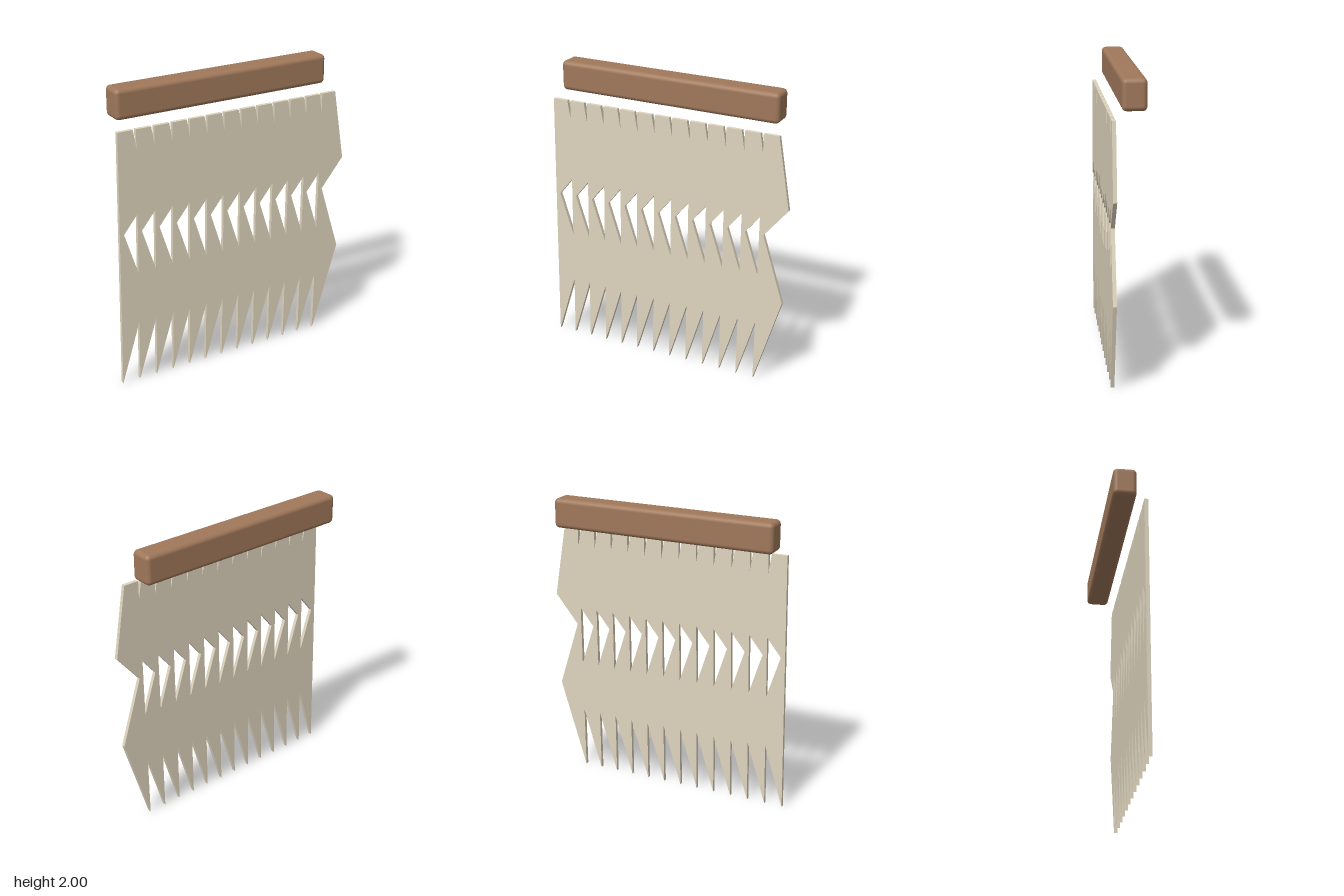
import * as THREE from 'three';
import { RoundedBoxGeometry } from 'three/addons/geometries/RoundedBoxGeometry.js';

const COUNT = 13;        // joined vertical slats
const PITCH = 0.1267;
const START = -0.865;    // tip of the first slat
const DEPTH = 0.025;

export function createModel() {
  const model = new THREE.Group();

  // Rounded wooden bar above the panel
  const bar = new THREE.Mesh(
    new RoundedBoxGeometry(1.56, 0.2, 0.155, 3, 0.03),
    new THREE.MeshStandardMaterial({ color: 0xa0785a })
  );
  bar.name = 'headBar';
  bar.position.set(-0.032, 1.9, -0.0325);
  model.add(bar);

  // Panel outline: pointed tips along the bottom, zigzag side, notched top
  const tipX = (i) => START + i * PITCH;
  const last = COUNT - 1;
  const outline = [];
  for (let i = 0; i < COUNT; i++) {
    outline.push([tipX(i), 0]);
    if (i < last) outline.push([tipX(i) + 0.133, 0.425]);
  }
  for (const [x, y] of [[0.19, 0.61], [0.045, 1.07], [0.21, 1.27]]) {
    outline.push([tipX(last) + x, y]);
  }
  for (let i = last; i >= 0; i--) {
    outline.push([tipX(i) + 0.13, 1.755], [tipX(i) + 0.025, 1.755]);
    if (i > 0) outline.push([tipX(i - 1) + 0.151, 1.627]);
  }
  const shape = new THREE.Shape(outline.map(([x, y]) => new THREE.Vector2(x, y)));

  // Triangular openings between neighbouring slats
  for (let i = 0; i < last; i++) {
    const corners = [[0.045, 1.07], [0.144, 1.192], [0.138, 0.782]];
    shape.holes.push(new THREE.Path(
      corners.map(([x, y]) => new THREE.Vector2(tipX(i) + x, y))
    ));
  }

  const panel = new THREE.Mesh(
    new THREE.ExtrudeGeometry(shape, { depth: DEPTH, bevelEnabled: false }),
    new THREE.MeshStandardMaterial({ color: 0xded4bd })
  );
  panel.name = 'slattedPanel';
  panel.position.z = 0.085;
  model.add(panel);

  return model;
}
